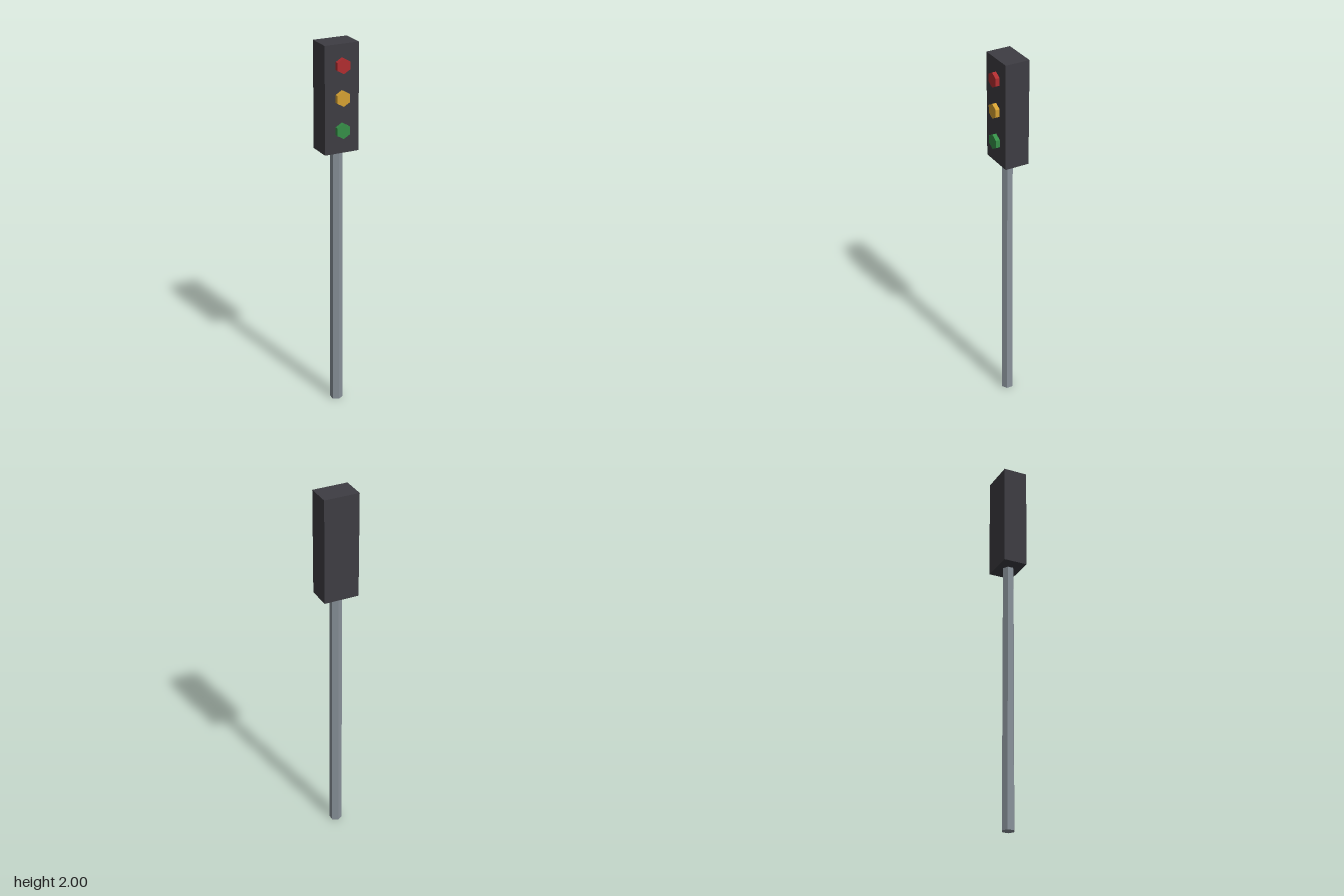
import * as THREE from 'three';

const material = (name, color) => {
  const m = new THREE.MeshStandardMaterial({ color, flatShading: true });
  m.name = name;
  return m;
};

export function createModel() {
  const group = new THREE.Group();
  group.name = 'trafficLight';
  const add = (name, geometry, mat, x, y, z) => {
    const mesh = new THREE.Mesh(geometry, mat);
    mesh.name = name;
    mesh.position.set(x, y, z);
    group.add(mesh);
  };

  // Slightly tapered six-sided pole
  add('pole', new THREE.CylinderGeometry(0.0315, 0.0338, 1.44, 6),
    material('steelGrey', 0x89929a), 0, 0.72, -0.0095);

  // Signal housing
  add('housing', new THREE.BoxGeometry(0.187, 0.56, 0.13),
    material('charcoal', 0x3e3d43), 0, 1.72, -0.012);

  // Six-sided lamps, points up and down
  const lampGeometry = new THREE.CylinderGeometry(0.04, 0.04, 0.032, 6);
  lampGeometry.rotateX(Math.PI / 2);
  const lamps = [
    ['redLamp', 0xb02d30, 1.893],
    ['amberLamp', 0xd4a032, 1.727],
    ['greenLamp', 0x358f47, 1.56],
  ];
  for (const [name, color, y] of lamps) {
    add(name, lampGeometry, material(name + 'Colour', color), 0, y, 0.059);
  }

  return group;
}
